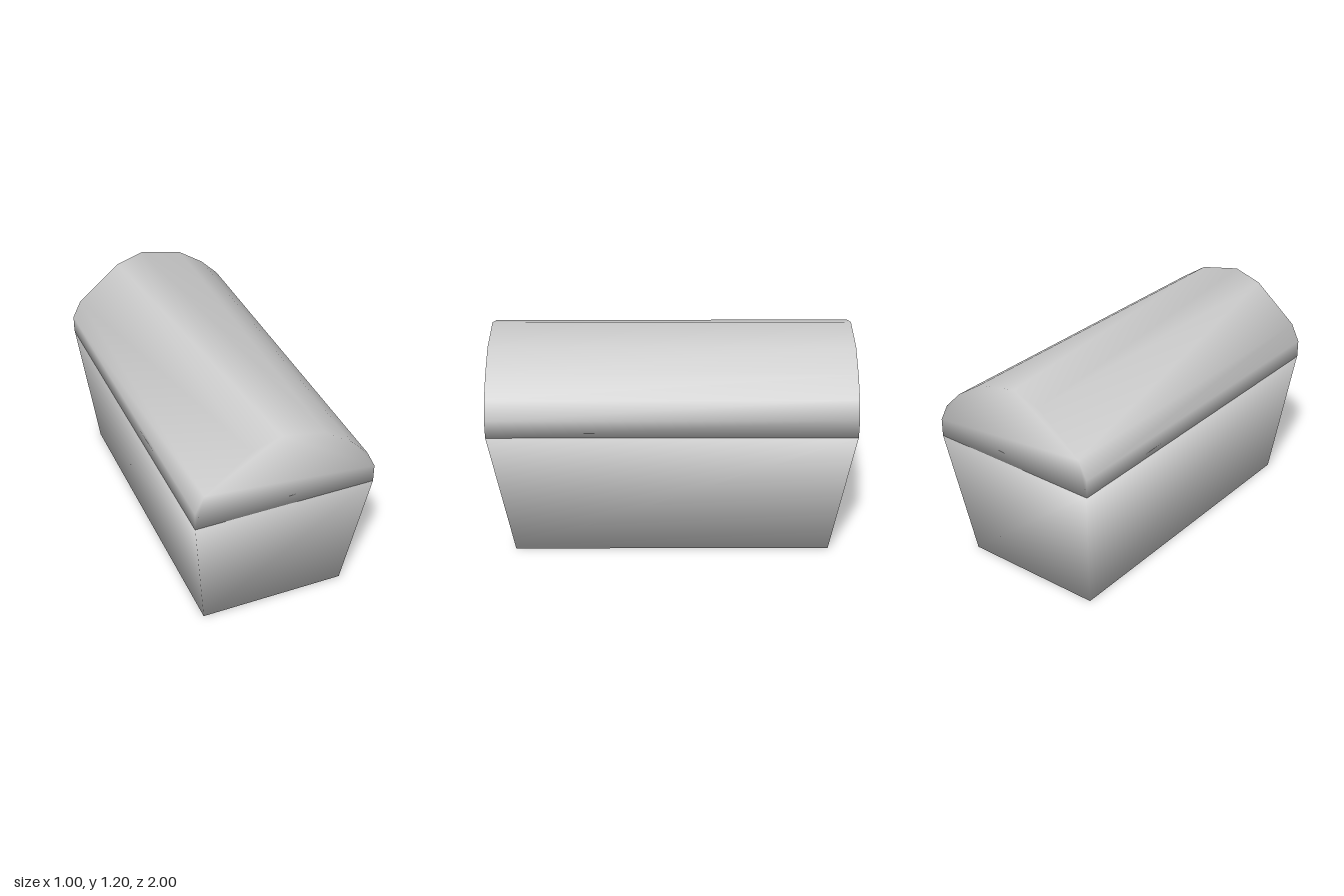
import * as THREE from 'three';
import { mergeVertices } from 'three/addons/utils/BufferGeometryUtils.js';

// Weld all corners so each closed solid is shaded smoothly across its edges
function smooth(geometry) {
  geometry.deleteAttribute('normal');
  geometry.deleteAttribute('uv');
  geometry.clearGroups();
  const welded = mergeVertices(geometry, 1e-4);
  welded.computeVertexNormals();
  return welded;
}

export function createModel() {
  const group = new THREE.Group();
  group.name = 'loafChest';
  const material = new THREE.MeshStandardMaterial({ color: 0xcccccc });

  const add = (name, geometry) => {
    const mesh = new THREE.Mesh(smooth(geometry), material);
    mesh.name = name;
    group.add(mesh);
  };

  // Body: a box that narrows towards the floor
  const body = new THREE.BoxGeometry(1, 0.75, 2).translate(0, 0.375, 0);
  const p = body.attributes.position;
  for (let i = 0; i < p.count; i++) {
    if (p.getY(i) < 0.1) {
      p.setX(i, Math.sign(p.getX(i)) * 0.41);
      p.setZ(i, Math.sign(p.getZ(i)) * 0.885);
    }
  }
  add('body', body);

  // Lid: a slightly uneven arch running the full length
  const arch = [
    [-0.5, 0.745], [0.5, 0.75], [0.5, 0.85], [0.45, 0.95], [0.35, 1.05],
    [0.2, 1.15], [-0.04, 1.2], [-0.2, 1.15], [-0.45, 0.945], [-0.5, 0.845],
  ].map(([x, y]) => new THREE.Vector2(x, y));
  const lid = new THREE.ExtrudeGeometry(new THREE.Shape(arch), { depth: 2, bevelEnabled: false });
  add('lid', lid.translate(0, 0, -1));

  return group;
}
